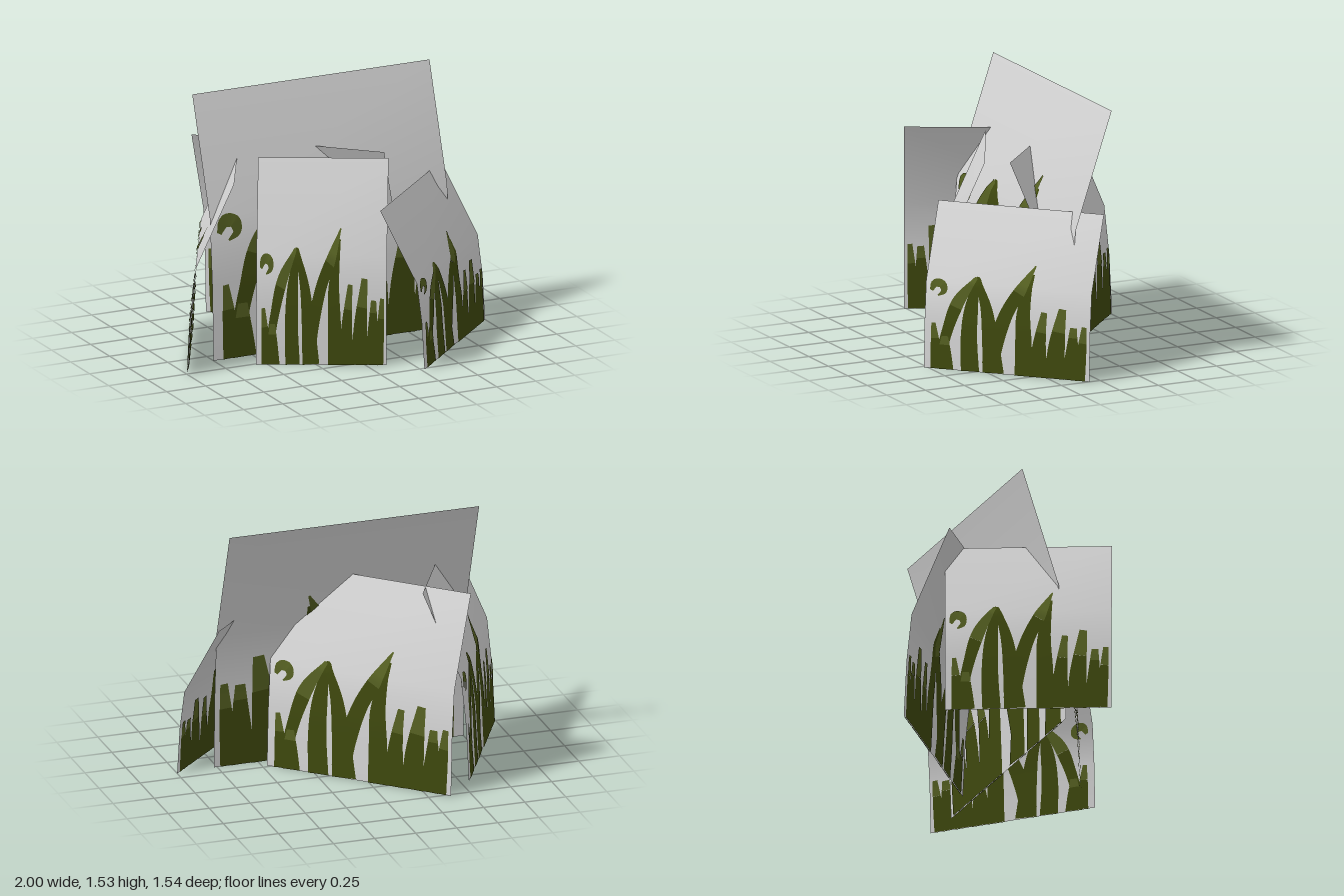
import * as THREE from 'three';

const sheetMat = new THREE.MeshStandardMaterial({ name: 'paleGrey', color: 0xd6d6d6, side: THREE.DoubleSide });
const grassMat = new THREE.MeshStandardMaterial({ name: 'darkGrass', color: 0x3f490e, side: THREE.DoubleSide });
const tipMat = new THREE.MeshStandardMaterial({ name: 'lightGrass', color: 0x566122, side: THREE.DoubleSide });

// Lean of a card: [height fraction, fraction of the full lean]
const PROFILE = [[0, 0], [0.3, 0.06], [0.55, 0.17], [1, 1]];
function lean(v) {
  for (let i = 1; i < PROFILE.length; i++) {
    const [v0, s0] = PROFILE[i - 1], [v1, s1] = PROFILE[i];
    if (v <= v1) return s0 + (s1 - s0) * (v - v0) / (v1 - v0);
  }
  return 1;
}

// Cards: bottom edge from a to b (x, z), lean of the top (x, z), height
const CARDS = [
  { name: 'tallCard', a: [-0.75, 0.09], b: [0.77, 0.09], s: [0, -0.28], h: 1.53 },
  { name: 'frontLeftCard', a: [0.27, 0.77], b: [1.0, 0.07], s: [-0.19, -0.19], h: 0.93 },
  { name: 'frontCard', a: [-0.56, 0.26], b: [0.11, 0.6], s: [0.13, -0.24], h: 1.165 },
  { name: 'backLeftCard', a: [0.47, 0.02], b: [-0.38, -0.77], s: [-0.19, 0.2], h: 1.155 },
  { name: 'rightCard', a: [-0.55, -0.59], b: [-1.0, 0.26], s: [0.24, 0.12], h: 1.15 },
];

// Blades: path points [u, v, width] and where the light tip begins
const BLADES = [
  { p: [[0.09, 0, 0.1], [0.07, 0.15, 0.06], [0.055, 0.29, 0.025]], tip: 0.65 },
  { p: [[0.13, 0, 0.1], [0.125, 0.1, 0.08], [0.125, 0.21, 0.04]], tip: 0.75 },
  { p: [[0.1, 0.08, 0.06], [0.14, 0.25, 0.065], [0.2, 0.43, 0.075], [0.3, 0.585, 0.02]], tip: 0.6 },
  { p: [[0.28, 0, 0.11], [0.27, 0.2, 0.1], [0.28, 0.4, 0.08], [0.31, 0.59, 0.02]], tip: 1 },
  { p: [[0.42, 0, 0.13], [0.4, 0.2, 0.1], [0.37, 0.4, 0.07], [0.31, 0.58, 0.03]], tip: 1 },
  { p: [[0.4, 0.05, 0.1], [0.44, 0.22, 0.09], [0.5, 0.4, 0.08], [0.57, 0.53, 0.07], [0.645, 0.68, 0.008]], tip: 0.72 },
  { p: [[0.6, 0, 0.1], [0.6, 0.2, 0.1], [0.595, 0.4, 0.08], [0.635, 0.63, 0.02]], tip: 1 },
  { p: [[0.69, 0, 0.12], [0.695, 0.2, 0.08], [0.72, 0.41, 0.035]], tip: 0.7 },
  { p: [[0.79, 0, 0.12], [0.8, 0.2, 0.1], [0.83, 0.44, 0.045]], tip: 0.7 },
  { p: [[0.88, 0, 0.1], [0.895, 0.2, 0.07], [0.9, 0.33, 0.04]], tip: 0.75 },
  { p: [[0.93, 0, 0.09], [0.95, 0.17, 0.06], [0.965, 0.34, 0.03]], tip: 0.7 },
  { p: [[0.035, 0.49, 0.02], [0.06, 0.535, 0.05], [0.1, 0.53, 0.05], [0.11, 0.49, 0.035], [0.075, 0.46, 0.008]], tip: 0 },
];

// Point on a card, pushed off its surface by d
function onCard(c, u, v, d) {
  const k = lean(v) - d / Math.hypot(...c.s);
  return [
    c.a[0] + (c.b[0] - c.a[0]) * u + c.s[0] * k,
    v * c.h,
    c.a[1] + (c.b[1] - c.a[1]) * u + c.s[1] * k,
  ];
}

// Strip of quads through rows of left and right points
function strip(rows) {
  const index = [];
  for (let i = 0; i < rows.length - 1; i++) {
    const k = i * 2;
    index.push(k, k + 1, k + 3, k, k + 3, k + 2);
  }
  const g = new THREE.BufferGeometry();
  g.setAttribute('position', new THREE.Float32BufferAttribute(rows.flat(2), 3));
  g.setIndex(index);
  g.computeVertexNormals();
  return g;
}

// Painted ribbon along part of a blade path
function ribbon(c, blade, t0, t1, d) {
  const curve = new THREE.CatmullRomCurve3(blade.p.map((q) => new THREE.Vector3(...q)));
  const rows = [], n = 20;
  for (let i = 0; i <= n; i++) {
    const t = t0 + (t1 - t0) * i / n;
    const q = curve.getPoint(t), e = curve.getTangent(t);
    const m = Math.hypot(e.x, e.y) || 1;
    const du = e.y / m * q.z / 2, dv = -e.x / m * q.z / 2;
    rows.push([-1, 1].map((k) => onCard(c, q.x + k * du, Math.max(0, q.y + k * dv), d)));
  }
  return strip(rows);
}

export function createModel() {
  const model = new THREE.Group();
  model.name = 'grassClump';
  for (const c of CARDS) {
    const card = new THREE.Group();
    card.name = c.name;
    const add = (geometry, material, name) => {
      const mesh = new THREE.Mesh(geometry, material);
      mesh.name = name;
      card.add(mesh);
    };

    // Leaning backing sheet
    add(strip(PROFILE.map(([v]) => [onCard(c, 0, v, 0), onCard(c, 1, v, 0)])), sheetMat, 'sheet');

    // Grass painted on both faces
    for (const side of [1, -1]) {
      for (const b of BLADES) {
        if (b.tip > 0) add(ribbon(c, b, 0, b.tip, side * 0.004), grassMat, 'blade');
        if (b.tip < 1) add(ribbon(c, b, b.tip, 1, side * 0.006), tipMat, 'bladeTip');
      }
    }
    model.add(card);
  }
  return model;
}
